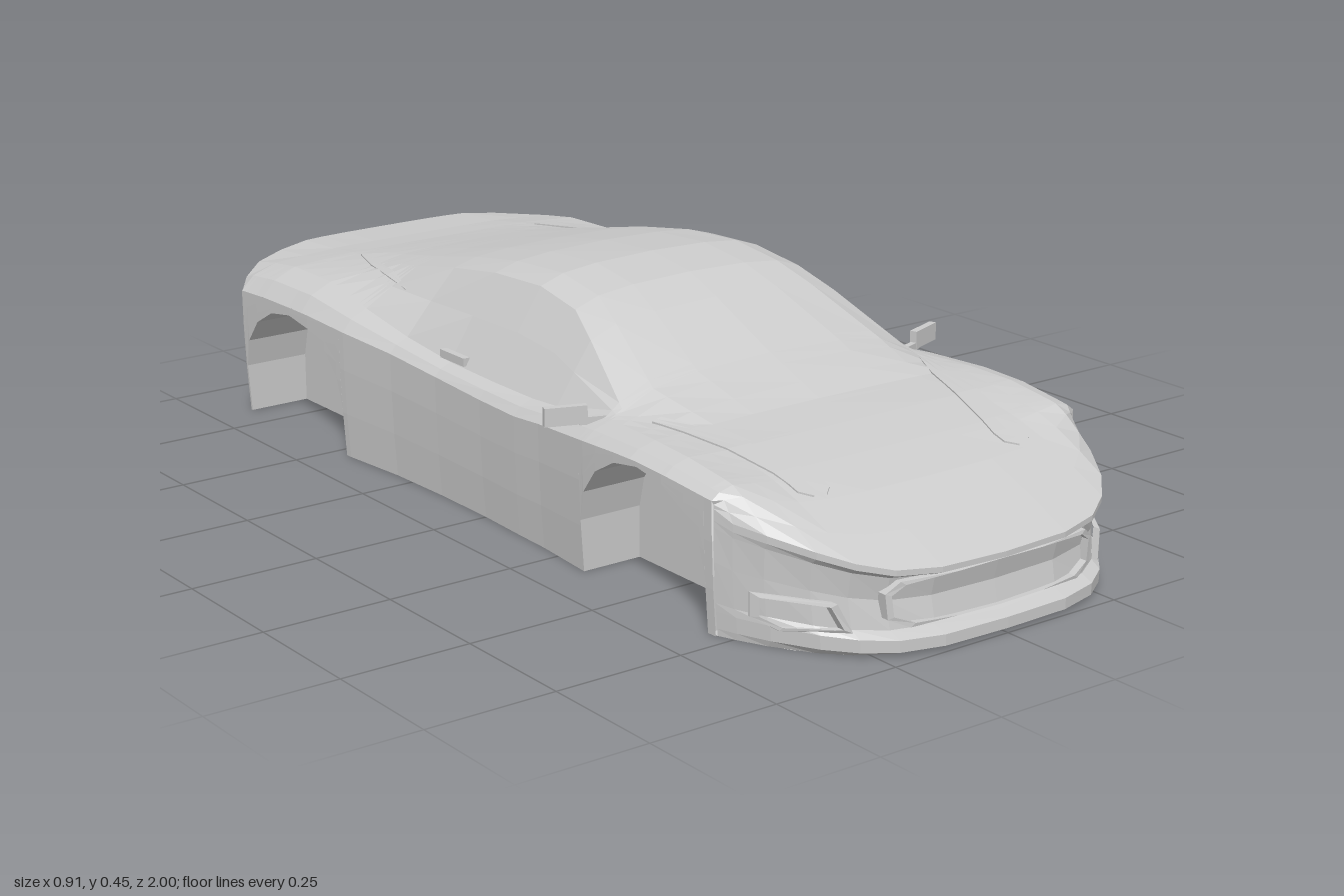
import * as THREE from 'three';

const mat = new THREE.MeshStandardMaterial({ color: 0xcccccc, flatShading: true, side: THREE.DoubleSide });
const lerp = THREE.MathUtils.lerp;
const FLOOR = 0.012, WELL_X = 0.28, FRONT = 0.72, REAR = -0.84;

// Cross-sections: s (along z), half width, shoulder y, centre y, roof edge x y, belt x y
const KEYS = [
  [0.99, 0.41, 0.235, 0.155, 0.28, 0.177, 0.37, 0.21],
  [0.9, 0.41, 0.24, 0.197, 0.28, 0.21, 0.37, 0.235],
  [0.8, 0.41, 0.247, 0.237, 0.28, 0.242, 0.37, 0.26],
  [0.7, 0.415, 0.256, 0.265, 0.28, 0.266, 0.37, 0.277],
  [0.6, 0.42, 0.266, 0.285, 0.28, 0.285, 0.37, 0.289],
  [0.5, 0.42, 0.27, 0.298, 0.3, 0.293, 0.365, 0.292],
  [0.36, 0.415, 0.262, 0.35, 0.33, 0.3, 0.355, 0.29],
  [0.2, 0.402, 0.25, 0.42, 0.285, 0.385, 0.36, 0.275],
  [0.12, 0.4, 0.243, 0.45, 0.262, 0.42, 0.36, 0.27],
  [0, 0.395, 0.243, 0.465, 0.255, 0.437, 0.36, 0.27],
  [-0.15, 0.395, 0.25, 0.455, 0.255, 0.43, 0.36, 0.273],
  [-0.3, 0.4, 0.26, 0.43, 0.25, 0.407, 0.36, 0.287],
  [-0.45, 0.415, 0.27, 0.397, 0.24, 0.377, 0.36, 0.31],
  [-0.6, 0.42, 0.277, 0.365, 0.225, 0.352, 0.35, 0.33],
  [-0.75, 0.42, 0.275, 0.337, 0.21, 0.337, 0.345, 0.328],
  [-0.84, 0.42, 0.27, 0.326, 0.2, 0.325, 0.34, 0.316],
  [-0.96, 0.42, 0.265, 0.32, 0.2, 0.319, 0.34, 0.304],
];

function station(s) {
  let i = 0;
  while (i < KEYS.length - 2 && s < KEYS[i + 1][0]) i++;
  const a = KEYS[i], b = KEYS[i + 1];
  const t = THREE.MathUtils.clamp((a[0] - s) / (a[0] - b[0]), 0, 1);
  const [, W, ys, yc, xr, yr, xb, yb] = a.map((v, k) => lerp(v, b[k], t));
  return { W, ys, yc, xr, yr, xb, yb };
}

// Half of the upper section, from the centre line to the shoulder
function section(s) {
  const { W, ys, yc, xr, yr, xb, yb } = station(s), d = yc - yr;
  return [[0, yc], [xr * 0.5, yc - d * 0.12], [xr * 0.8, yc - d * 0.4], [xr, yr],
    [lerp(xr, xb, 0.5), lerp(yr, yb, 0.48)], [xb, yb],
    [lerp(xb, W, 0.65), lerp(yb, ys, 0.4)], [W, ys]];
}

// Ends wrap round in plan; f is the fraction of the half width
function bendZ(s, f) {
  const base = s > FRONT ? FRONT : s < REAR ? REAR : s;
  return s - (s - base) * f ** 4;
}
const sideX = (W, ys, y) => W - 0.012 * (1 - y / ys) ** 2;
const mirrorRow = (half) => [...half.slice(1).map(([x, y, z]) => [-x, y, z]).reverse(), ...half];

// Surface through equal rows of points
function loft(name, rows) {
  const n = rows[0].length, index = [];
  for (let i = 0; i < rows.length - 1; i++)
    for (let j = 0; j < n - 1; j++) {
      const a = i * n + j, b = a + 1, c = a + n, d = c + 1;
      index.push(a, b, c, b, d, c);
    }
  const g = new THREE.BufferGeometry();
  g.setAttribute('position', new THREE.Float32BufferAttribute(rows.flat(2), 3));
  g.setIndex(index);
  g.computeVertexNormals();
  return mesh(name, g);
}
function mesh(name, geometry) {
  const m = new THREE.Mesh(geometry, mat);
  m.name = name;
  return m;
}
const flip = (rows, side) => side > 0 ? rows : rows.map((r) => r.map(([x, y, z]) => [-x, y, z]).reverse());

// Wheel arch outline in [z, y], front to back, with its legs down to the floor
function arch(c, r) {
  const pts = [[c + r, FLOOR]];
  for (let i = 0; i <= 8; i++) {
    const a = i * Math.PI / 8;
    pts.push([c + r * Math.cos(a), 0.11 + 0.15 * Math.sin(a)]);
  }
  return [...pts, [c - r, FLOOR]];
}
const ARCHES = { front: arch(0.52, 0.18), rear: arch(-0.65, 0.185) };

// Bumper at one end: rows of [height fraction, centre z] swept round the plan curve
function bumper(name, s0, profile) {
  const edge = section(s0), { W, ys } = station(s0);
  return loft(name, profile.map(([t, zc]) => mirrorRow(edge.map(([x, top]) => {
    const y = lerp(FLOOR, top, t);
    return [x * sideX(W, ys, Math.min(y, ys)) / W, y, bendZ(zc, x / W)];
  }))));
}

// Thin rim that follows the rounded end of the body
function rim(name, pts, zc, depth, sx, sy) {
  const n = pts.length;
  const cx = pts.reduce((t, p) => t + p[0], 0) / n, cy = pts.reduce((t, p) => t + p[1], 0) / n;
  const v = (k, l) => pts.map(([x, y]) => new THREE.Vector2(cx + (x - cx) * k, cy + (y - cy) * l));
  const shape = new THREE.Shape(v(1, 1));
  shape.holes.push(new THREE.Path(v(sx, sy)));
  const g = new THREE.ExtrudeGeometry(shape, { depth, bevelEnabled: false });
  const p = g.attributes.position;
  for (let i = 0; i < p.count; i++) p.setZ(i, bendZ(zc + p.getZ(i), Math.min(1, Math.abs(p.getX(i)) / 0.415)));
  g.computeVertexNormals();
  return mesh(name, g);
}

// Strip laid on the upper body; rows are [s, inner x, outer x]
function drape(name, rows, side, lift) {
  const point = (s, x, h) => {
    const sec = section(s);
    let i = 0;
    while (i < sec.length - 2 && x > sec[i + 1][0]) i++;
    const [a, b] = [sec[i], sec[i + 1]];
    return [x, lerp(a[1], b[1], (x - a[0]) / (b[0] - a[0])) + h, bendZ(s, x / station(s).W)];
  };
  const grid = rows.map(([s, a, b]) => [point(s, a, -0.004), point(s, a, lift),
    point(s, (a + b) / 2, lift), point(s, b, lift), point(s, b, -0.004)]);
  return loft(name, flip(grid, side));
}

export function createModel() {
  const car = new THREE.Group();
  car.name = 'carBody';

  // Bonnet, glass, roof and tail deck
  const arcS = Object.values(ARCHES).flat().map((p) => p[0]);
  const stops = [...new Set([...KEYS.map((k) => k[0]), FRONT, ...arcS])].sort((a, b) => b - a);
  car.add(loft('upperBody', stops.map((s) => {
    const W = station(s).W;
    return mirrorRow(section(s).map(([x, y]) => [x, y, bendZ(s, x / W)]));
  })));

  // Flanks, with the lower edge following the wheel arches
  const plain = KEYS.map((k) => k[0]).filter((s) => s < 0.33 && s > -0.46).map((s) => [s, FLOOR]);
  const edge = [[FRONT, FLOOR], ...ARCHES.front, ...plain, ...ARCHES.rear, [REAR, FLOOR]];
  const flank = edge.map(([s, low]) => {
    const { W, ys } = station(s);
    return [0, 0.3, 0.65, 1].map((t) => {
      const y = lerp(ys, low, t);
      return [sideX(W, ys, y), y, s];
    });
  });
  // Wheel wells: arched liner and inner wall
  for (const side of [1, -1]) {
    const tag = side > 0 ? 'left' : 'right';
    car.add(loft(tag + 'Flank', flip(flank, side)));
    for (const [end, pts] of Object.entries(ARCHES)) {
      const liner = pts.map(([s, y]) => {
        const { W, ys } = station(s);
        return [[sideX(W, ys, y), y, s], [WELL_X, y, s]];
      });
      const wall = pts.map(([s, y]) => [[WELL_X, y, s], [WELL_X, FLOOR, s]]);
      car.add(loft(`${tag}${end}WheelLiner`, flip(liner, side)), loft(`${tag}${end}WheelWall`, flip(wall, side)));
    }
  }

  // Bumpers
  car.add(bumper('frontBumper', 0.99,
    [[0, 0.975], [0.06, 1], [0.2, 1], [0.27, 0.972], [0.6, 0.962], [0.88, 0.972], [0.93, 0.99], [1, 0.99]]));
  car.add(bumper('rearBumper', -0.96,
    [[1, -0.96], [0.95, -0.972], [0.8, -0.982], [0.74, -0.962], [0.58, -0.957], [0.5, -1], [0.32, -0.995], [0.22, -0.965], [0, -0.9]]));

  // Floor pan, notched at the wheel wells
  const plan = (z, W) => [0, 0.25, 0.5, 0.7, 0.85, 0.95, 1].map((f) => [f * (W - 0.011), bendZ(z, f)]);
  const sill = (s) => [station(s).W - 0.011, s];
  const notch = (a) => {
    const z0 = a[0][0], z1 = a[a.length - 1][0];
    return [sill(z0), [WELL_X, z0], [WELL_X, z1], sill(z1)];
  };
  const half = [...plan(0.975, 0.41), ...notch(ARCHES.front), ...plain.map((p) => sill(p[0])),
    ...notch(ARCHES.rear), ...plan(-0.9, 0.42).reverse()];
  const outline = [...half, ...half.slice(1, -1).map(([x, z]) => [-x, z]).reverse()];
  const floor = new THREE.ShapeGeometry(new THREE.Shape(outline.map(([x, z]) => new THREE.Vector2(x, z))));
  floor.rotateX(Math.PI / 2).translate(0, FLOOR, 0);
  car.add(mesh('floorPan', floor));

  // Grille rim and tail lamp rim
  car.add(rim('grilleRim', [[-0.235, 0.12], [-0.21, 0.14], [-0.1, 0.146], [0, 0.147], [0.1, 0.146], [0.21, 0.14],
    [0.235, 0.12], [0.23, 0.075], [0.19, 0.057], [0.1, 0.052], [0, 0.05], [-0.1, 0.052], [-0.19, 0.057], [-0.23, 0.075]],
  0.955, 0.025, 0.955, 0.84));
  car.add(rim('tailLampRim', [[-0.34, 0.235], [-0.2, 0.245], [-0.12, 0.235], [0, 0.232], [0.12, 0.235], [0.2, 0.245],
    [0.34, 0.235], [0.35, 0.2], [0.2, 0.185], [0, 0.18], [-0.2, 0.185], [-0.35, 0.2]],
  -0.972, 0.02, 0.96, 0.8));

  // Parts in pairs
  const box = (name, size, pos, ry = 0) => {
    const m = mesh(name, new THREE.BoxGeometry(...size));
    m.position.set(...pos);
    m.rotation.y = ry;
    car.add(m);
  };
  for (const side of [1, -1]) {
    const tag = side > 0 ? 'left' : 'right';
    const intake = [[0.385, 0.108], [0.3, 0.105], [0.28, 0.055], [0.36, 0.048], [0.385, 0.065]];
    car.add(rim(tag + 'Intake', intake.map(([x, y]) => [x * side, y]), 0.96, 0.022, 0.82, 0.78));
    car.add(drape(tag + 'Headlamp', [[0.79, 0.22, 0.245], [0.77, 0.2, 0.265], [0.74, 0.2, 0.265],
      [0.7, 0.21, 0.268], [0.6, 0.237, 0.287], [0.5, 0.268, 0.305], [0.43, 0.3, 0.32]], side, 0.003));
    car.add(drape(tag + 'QuarterTrim', [[-0.4, 0.296, 0.3], [-0.5, 0.264, 0.28], [-0.6, 0.238, 0.255],
      [-0.7, 0.212, 0.218]], side, 0.003));
    box(tag + 'MirrorHousing', [0.078, 0.034, 0.014], [side * 0.418, 0.297, 0.308], side * 0.35);
    box(tag + 'MirrorStalk', [0.05, 0.014, 0.012], [side * 0.372, 0.285, 0.325], side * 0.35);
    box(tag + 'DoorHandle', [0.014, 0.016, 0.08], [side * 0.356, 0.284, -0.14]);
  }

  // Diffuser fins
  const fin = new THREE.Shape([[0.88, 0.015], [0.975, 0.022], [0.992, 0.085], [0.95, 0.085]].map((p) => new THREE.Vector2(...p)));
  const finGeo = new THREE.ExtrudeGeometry(fin, { depth: 0.012, bevelEnabled: false });
  finGeo.translate(0, 0, -0.006).rotateY(Math.PI / 2);
  for (let i = 0; i < 6; i++) {
    const m = mesh('diffuserFin' + (i + 1), finGeo);
    const x = -0.225 + i * 0.09;
    m.position.set(x, 0, 0.16 * (x / 0.42) ** 4);
    car.add(m);
  }
  return car;
}
